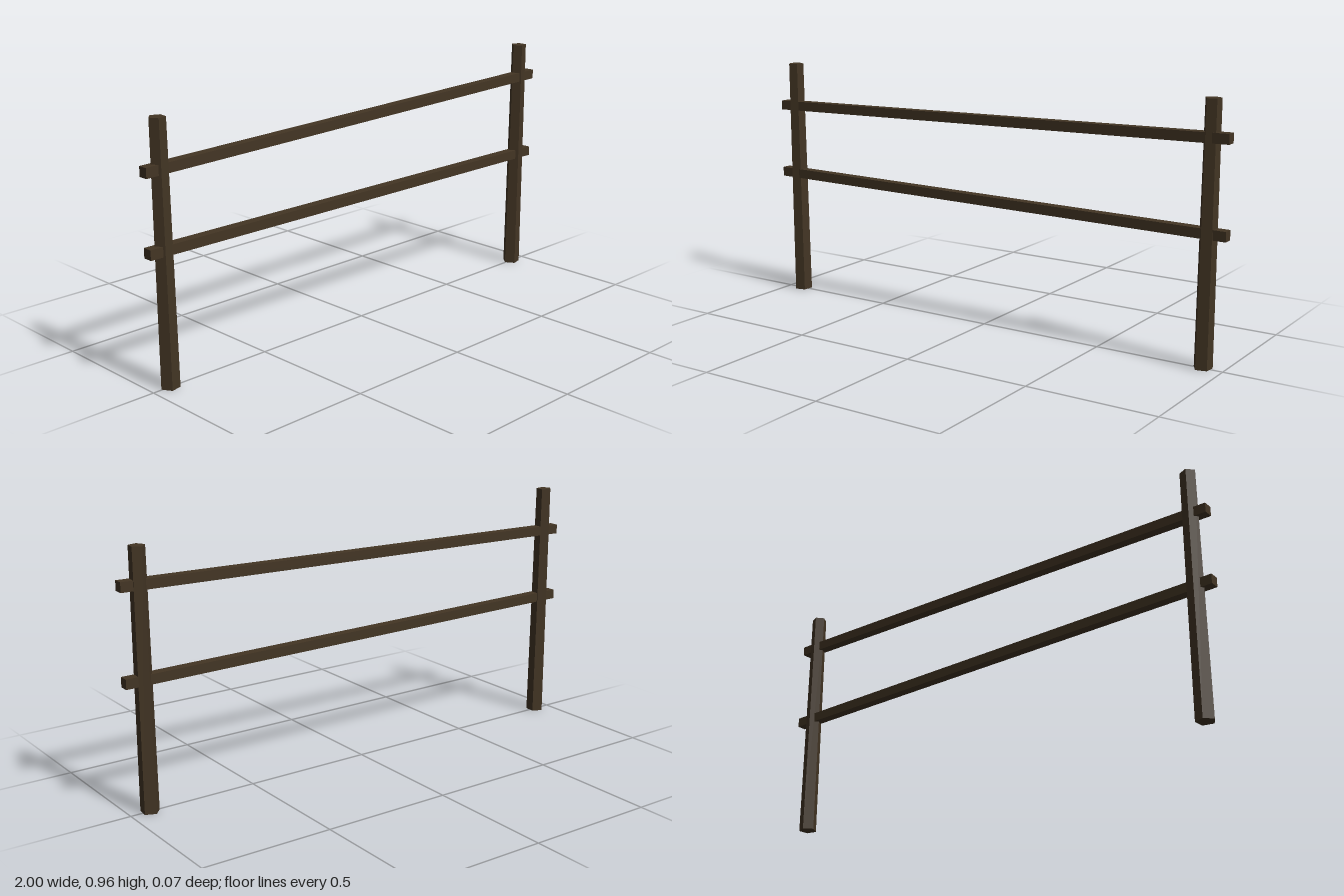
import * as THREE from 'three';

export function createModel() {
  const group = new THREE.Group();
  const wood = new THREE.MeshStandardMaterial({ color: 0x433524 });
  wood.name = 'dark brown wood';
  wood.flatShading = true;

  const add = (name, geometry) => {
    geometry.computeVertexNormals();
    const mesh = new THREE.Mesh(geometry, wood);
    mesh.name = name;
    group.add(mesh);
  };

  // Five-sided tapering post, leaning slightly from its base to its top
  const HEIGHT = 0.96;
  function post(name, baseX, topX) {
    const g = new THREE.CylinderGeometry(0.0305, 0.0355, HEIGHT, 5, 1, false, -Math.PI / 2 - 0.09);
    g.translate(0, HEIGHT / 2, 0);
    const p = g.attributes.position;
    for (let i = 0; i < p.count; i++) {
      p.setX(i, p.getX(i) + THREE.MathUtils.lerp(baseX, topX, p.getY(i) / HEIGHT));
    }
    add(name, g.toNonIndexed());
  }
  post('rightPost', -0.929, -0.934);
  post('leftPost', 0.924, 0.927);

  // Square rail, sheared so that it runs between two end centres [y, z]
  function rail(name, start, end) {
    const g = new THREE.BoxGeometry(2, 0.037, 0.037);
    const p = g.attributes.position;
    for (let i = 0; i < p.count; i++) {
      const t = (p.getX(i) + 1) / 2;
      p.setY(i, p.getY(i) + THREE.MathUtils.lerp(start[0], end[0], t));
      p.setZ(i, p.getZ(i) + THREE.MathUtils.lerp(start[1], end[1], t));
    }
    add(name, g.toNonIndexed());
  }
  rail('upperRail', [0.784, 0.002], [0.827, 0.005]);
  rail('lowerRail', [0.503, 0.005], [0.489, 0.001]);

  return group;
}
